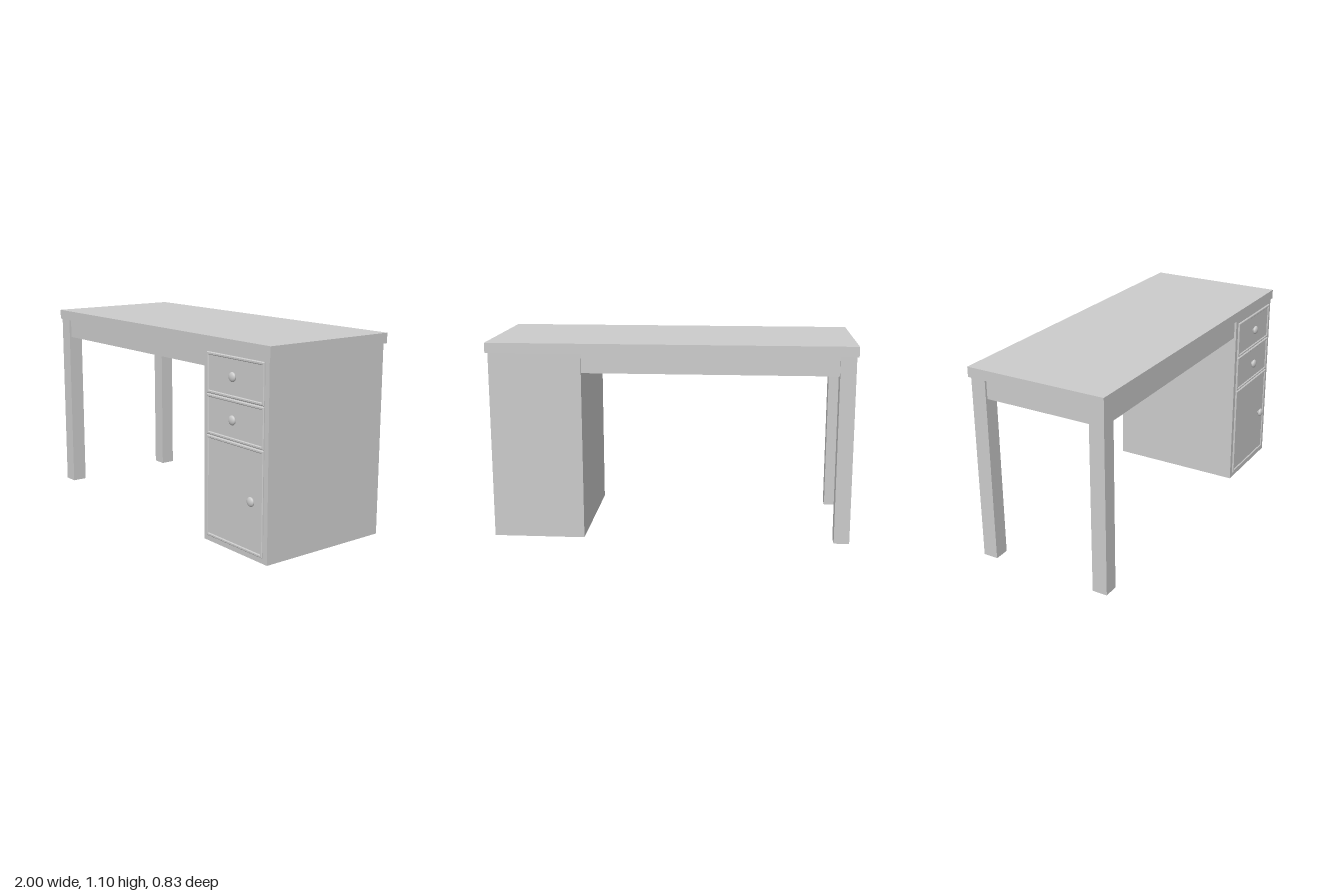
import * as THREE from 'three';

const material = new THREE.MeshStandardMaterial({ color: 0xcccccc });

function add(parent, name, geometry) {
  const mesh = new THREE.Mesh(geometry, material);
  mesh.name = name;
  parent.add(mesh);
  return mesh;
}

// Box given by its minimum and maximum corners
function block(parent, name, [x0, y0, z0], [x1, y1, z1]) {
  const mesh = add(parent, name, new THREE.BoxGeometry(x1 - x0, y1 - y0, z1 - z0));
  mesh.position.set((x0 + x1) / 2, (y0 + y1) / 2, (z0 + z1) / 2);
  return mesh;
}

function rectangle(path, x0, y0, x1, y1) {
  path.moveTo(x0, y0);
  path.lineTo(x1, y0);
  path.lineTo(x1, y1);
  path.lineTo(x0, y1);
  path.closePath();
  return path;
}

// Flat panel with a bevelled moulding around its edge and a round knob
function cabinetFront(parent, name, y0, y1, knobX, knobY) {
  const group = new THREE.Group();
  group.name = name;
  const x0 = 0.508, x1 = 0.957, bevel = 0.004, inner = 0.012;
  block(group, 'panel', [x0 + 0.005, y0 + 0.005, 0.375], [x1 - 0.005, y1 - 0.005, 0.386]);

  const outline = rectangle(new THREE.Shape(), x0 + bevel, y0 + bevel, x1 - bevel, y1 - bevel);
  outline.holes.push(rectangle(new THREE.Path(), x0 + inner, y0 + inner, x1 - inner, y1 - inner));
  const moulding = add(group, 'moulding', new THREE.ExtrudeGeometry(outline, {
    depth: 0.006, bevelEnabled: true, bevelSize: bevel, bevelThickness: 0.004, bevelSegments: 1,
  }));
  moulding.position.z = 0.382;

  const knob = add(group, 'knob', new THREE.SphereGeometry(0.025, 24, 16));
  knob.scale.z = 0.5;
  knob.position.set(knobX, knobY, 0.401);
  const stem = add(group, 'knobStem', new THREE.CylinderGeometry(0.01, 0.01, 0.02, 16));
  stem.rotation.x = Math.PI / 2;
  stem.position.set(knobX, knobY, 0.392);
  parent.add(group);
}

export function createModel() {
  const desk = new THREE.Group();
  desk.name = 'desk';
  const front = 0.383, back = -0.4, left = -0.99, leg = 0.085;
  const under = 1.04, apronBottom = 0.932, inset = 0.012, thick = 0.055;

  block(desk, 'top', [-1, under, -0.412], [1, 1.095, 0.39]);

  // Legs at the open end
  block(desk, 'frontLeg', [left, 0, front - leg], [left + leg, under, front]);
  block(desk, 'backLeg', [left, 0, back], [left + leg, under, back + leg]);

  // Aprons joining the legs and the cabinet
  block(desk, 'frontApron', [left + leg, apronBottom, front - inset - thick], [0.48, under, front - inset]);
  block(desk, 'backApron', [left + leg, apronBottom, back + inset], [0.48, under, back + inset + thick]);
  block(desk, 'sideApron', [left + inset, apronBottom, back + leg], [left + inset + thick, under, front - leg]);

  // Cabinet with two drawers and a door
  const cabinet = new THREE.Group();
  cabinet.name = 'cabinet';
  block(cabinet, 'carcass', [0.48, 0, back], [0.987, under, front]);
  cabinetFront(cabinet, 'upperDrawer', 0.8, 1.014, 0.73, 0.912);
  cabinetFront(cabinet, 'lowerDrawer', 0.583, 0.796, 0.73, 0.693);
  cabinetFront(cabinet, 'door', 0.03, 0.579, 0.878, 0.306);
  desk.add(cabinet);

  return desk;
}
